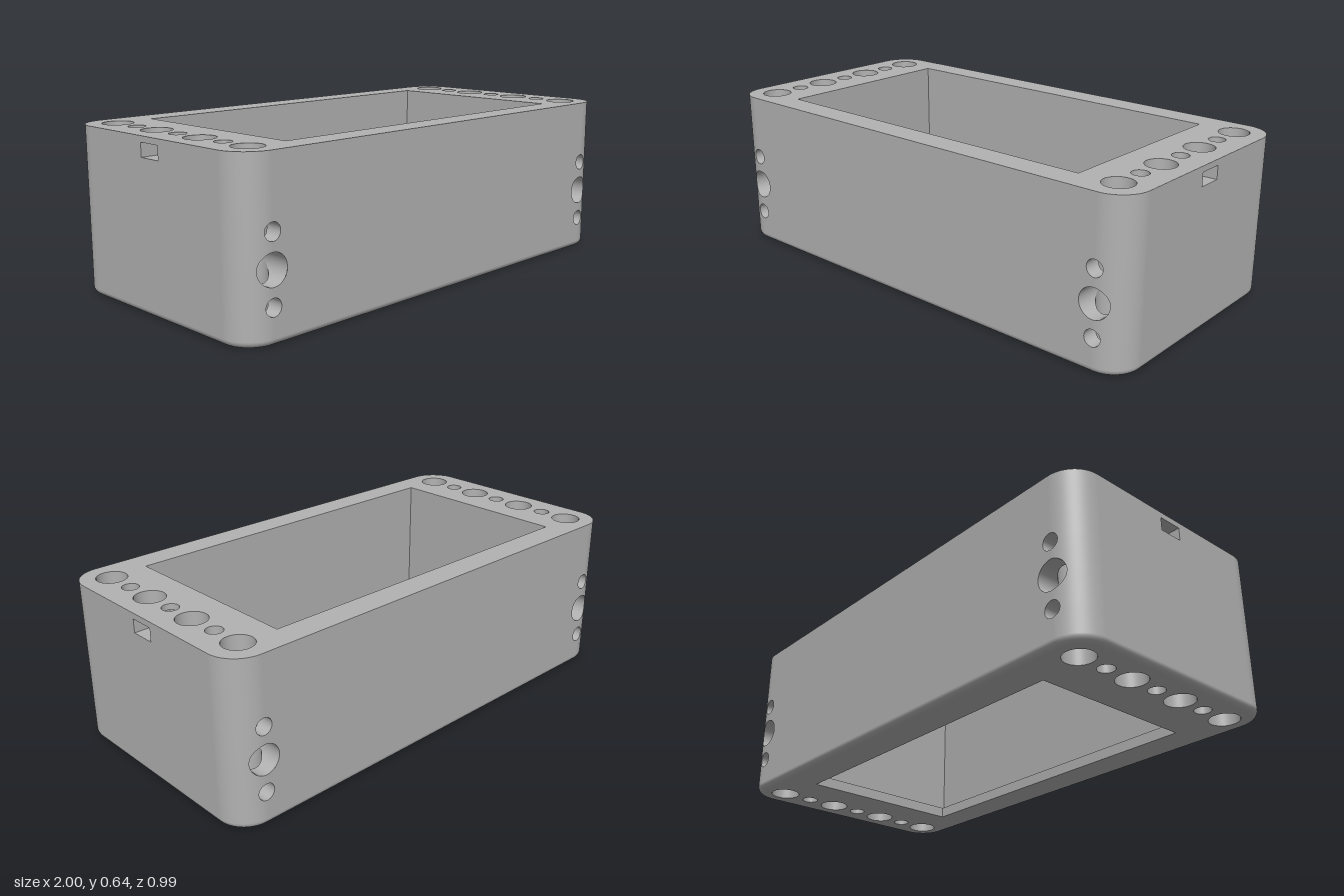
import * as THREE from 'three';
import { mergeGeometries } from 'three/addons/utils/BufferGeometryUtils.js';

const W = 1, D = 0.495, H = 0.64;            // half width, half depth, height
const CX = 0.882, R = W - CX, CZ = D - R;    // corner arc centre and radius
const FILLET = 0.025;
const BIG = 0.058, SMALL = 0.032;
const LIP = 0.043;
const SLOT = { y0: 0.565, y1: 0.617, half: 0.05 };
const sideHoles = [[0.13, SMALL], [0.255, BIG], [0.38, SMALL]];
const topHoles = [-3, -2, -1, 0, 1, 2, 3].map(i => [i * 0.1262, i % 2 ? BIG : SMALL]);

const v = (x, y, z) => new THREE.Vector3(x, y, z);

// Skins neighbouring columns. Each has at(t), a normal n and breaks [start, end, start, end...]
function strip(cols) {
  const pos = [], nor = [];
  const tri = (...c) => {
    const [a, b, d] = c.map(e => e[0]);
    const face = b.clone().sub(a).cross(d.clone().sub(a));
    if (face.lengthSq() < 1e-16) return;
    if (face.dot(c[0][1].clone().add(c[1][1]).add(c[2][1])) < 0) c.reverse();
    c.forEach(([p, n]) => { pos.push(p.x, p.y, p.z); nor.push(n.x, n.y, n.z); });
  };
  for (let i = 0; i + 1 < cols.length; i++) {
    const a = cols[i], b = cols[i + 1];
    for (let k = 0; k < a.breaks.length; k += 2) {
      const [p, q, r, s] = [[a, k], [b, k], [b, k + 1], [a, k + 1]].map(([c, j]) => [c.at(c.breaks[j]), c.n]);
      tri(p, q, r);
      tri(p, r, s);
    }
  }
  const g = new THREE.BufferGeometry();
  g.setAttribute('position', new THREE.Float32BufferAttribute(pos, 3));
  g.setAttribute('normal', new THREE.Float32BufferAttribute(nor, 3));
  return g;
}

// Openings left by round holes at a sideways distance dx from their axes
const gaps = (holes, dx) => holes.flatMap(([c, r]) => {
  const h = Math.sqrt(Math.max(0, r * r - dx * dx));
  return [c - h, c + h];
});

// Even angles plus those where a small hole's edge meets the circle of radius r
function angles(from, to, steps, r) {
  const list = Array.from({ length: steps + 1 }, (_, i) => from + (to - from) * i / steps);
  for (const e of [SMALL, BIG]) {
    if (e >= r) continue;
    const a = Math.acos(e / r);
    [a, Math.PI - a, Math.PI + a, 2 * Math.PI - a].forEach(t => { if (t > from && t < to) list.push(t); });
  }
  return list.sort((a, b) => a - b);
}

// One quarter of the outer outline, from the middle of the front to the middle of the end
function quarter() {
  const pts = [{ x: 0, z: D, nx: 0, nz: 1 }];
  angles(0, Math.PI / 2, 20, BIG).forEach(a => pts.push({ x: CX - BIG * Math.cos(a), z: D, nx: 0, nz: 1 }));
  angles(0, Math.PI / 2, 32, R).reverse().forEach(a => pts.push({
    x: CX + R * Math.cos(a), z: CZ + R * Math.sin(a), nx: Math.cos(a), nz: Math.sin(a) }));
  [[SLOT.half, false], [SLOT.half, true], [0, true]].forEach(([z, open]) => pts.push({ x: W, z, nx: 1, nz: 0, open }));
  return pts;
}

function outerWall() {
  const parts = [];
  for (const sx of [1, -1]) for (const sz of [1, -1]) {
    const q = quarter();
    parts.push(strip(q.map(p => ({
      at: y => v(sx * p.x, y, sz * p.z),
      n: v(sx * p.nx, 0, sz * p.nz),
      breaks: [FILLET, ...gaps(sideHoles, p.x - CX), ...(p.open ? [SLOT.y0, SLOT.y1] : [0.59, 0.59]), H],
    }))));
    // rounded bottom edge, one column per angle with the outline as rows
    const ring = q.flatMap((_, i) => (i + 1 < q.length ? [i, i + 1] : []));
    for (let k = 0; k < 6; k++) {
      const cols = ring.map(i => [k, k + 1].map(j => {
        const a = j / 6 * Math.PI / 2, p = q[i], o = FILLET * (Math.cos(a) - 1);
        return { p: v(sx * (p.x + p.nx * o), FILLET * (1 - Math.sin(a)), sz * (p.z + p.nz * o)),
          n: v(sx * p.nx * Math.cos(a), -Math.sin(a), sz * p.nz * Math.cos(a)) };
      }));
      const rows = [0, 1].map(j => cols.map(c => c[j]));
      const g = strip(cols.map(c => ({ at: t => c[t].p, n: c[0].n, breaks: [0, 1] })));
      // exact normals at both rows
      const P = g.attributes.position, N = g.attributes.normal;
      for (let i = 0; i < P.count; i++) {
        const s = v(P.getX(i), P.getY(i), P.getZ(i));
        const hit = rows.flat().find(e => e.p.distanceToSquared(s) < 1e-10);
        if (hit) N.setXYZ(i, hit.n.x, hit.n.y, hit.n.z);
      }
      parts.push(g);
    }
  }
  return mergeGeometries(parts);
}

// Vertical hole opened where the cross holes and the nut slot meet it
function verticalHole(x, z, r) {
  return strip(angles(0, 2 * Math.PI, 64, r).map(a => {
    const c = Math.cos(a), s = Math.sin(a);
    return { at: y => v(x + r * c, y, z + r * s), n: v(-c, 0, -s),
      breaks: [0, ...gaps(sideHoles, r * c), ...(z === 0 ? [SLOT.y0, SLOT.y1] : []), H] };
  }));
}

// Front-to-back hole, ending on the rounded corners
function crossHole(side, y, r) {
  return strip(angles(0, 2 * Math.PI, 64, r).map(a => {
    const c = Math.cos(a), s = Math.sin(a), dx = Math.max(0, r * c);
    const end = CZ + Math.sqrt(R * R - dx * dx);
    return { at: z => v(side * (CX + r * c), y + r * s, z), n: v(-side * c, -s, 0),
      breaks: [-end, ...gaps(topHoles, r * c), end] };
  }));
}

// Flat walls along a path of [x, z] points, facing the point (cx, 0)
function innerWalls(path, y0, y1, cx) {
  return mergeGeometries(path.slice(1).map((b, i) => {
    const a = path[i];
    const n = v(b[1] - a[1], 0, a[0] - b[0]).normalize();
    if (n.dot(v(cx - a[0], 0, -a[1])) < 0) n.negate();
    return strip([a, b].map(([x, z]) => ({ at: y => v(x, y, z), n, breaks: [y0, y1] })));
  }));
}

const rectPath = (x, z) => [[-x, -z], [x, -z], [x, z], [-x, z], [-x, -z]];
const polygon = (pts, Type = THREE.Shape) => new Type(pts.map(([x, z]) => new THREE.Vector2(x, z)));
const circle = (x, z, r) => new THREE.Path().absarc(x, z, r, 0, 2 * Math.PI, false);

function roundedOutline(inset) {
  const s = new THREE.Shape(), r = R - inset;
  [[1, 1], [-1, 1], [-1, -1], [1, -1]].forEach(([sx, sz], i) =>
    s.absarc(sx * CX, sz * CZ, r, i * Math.PI / 2, (i + 1) * Math.PI / 2, false));
  return s;
}

// Horizontal face at height y, facing up (1) or down (-1)
function flat(shape, y, dir) {
  return new THREE.ShapeGeometry(shape, 32).rotateX(-dir * Math.PI / 2).translate(0, y, 0);
}

export function createModel() {
  const model = new THREE.Group();
  const grey = new THREE.MeshStandardMaterial({ color: 0xb2b2b2 });
  grey.name = 'plain grey';
  const add = (name, geometry, parent = model) => {
    const mesh = new THREE.Mesh(geometry, grey);
    mesh.name = name;
    parent.add(mesh);
    return mesh;
  };

  const pocket = rectPath(0.73, 0.388), opening = rectPath(0.686, 0.345);
  const drilled = (inset, cut) => {
    const s = roundedOutline(inset);
    s.holes.push(polygon(cut, THREE.Path));
    for (const side of [1, -1]) topHoles.forEach(([z, r]) => s.holes.push(circle(side * CX, z, r)));
    return s;
  };

  add('outerWall', outerWall());
  add('topFace', flat(drilled(0, pocket.slice(0, 4)), H, 1));
  add('bottomFace', flat(drilled(FILLET, opening.slice(0, 4)), 0, -1));

  // central pocket with a lip around its floor opening
  add('pocketWalls', innerWalls(pocket, LIP, H, 0));
  add('lipWalls', innerWalls(opening, 0, LIP, 0));
  const ledge = polygon(pocket.slice(0, 4));
  ledge.holes.push(polygon(opening.slice(0, 4), THREE.Path));
  add('lipTop', flat(ledge, LIP, 1));

  // nut slot outline, pointed at its inner end
  const s = SLOT.half, k = s / Math.sqrt(3);
  const nut = [[W, -s], [CX - k, -s], [CX - 2 * k, 0], [CX - k, s], [W, s]];
  const nutFace = polygon(nut);
  nutFace.holes.push(circle(CX, 0, SMALL));

  for (const side of [1, -1]) {
    const end = side > 0 ? 'left' : 'right';
    add(end + 'VerticalHoles', mergeGeometries(topHoles.map(([z, r]) => verticalHole(side * CX, z, r))));
    add(end + 'CrossHoles', mergeGeometries(sideHoles.map(([y, r]) => crossHole(side, y, r))));
    const slot = new THREE.Group();
    slot.name = end + 'NutSlot';
    add('slotWalls', innerWalls(nut, SLOT.y0, SLOT.y1, CX), slot);
    add('slotFloor', flat(nutFace, SLOT.y0, 1), slot);
    add('slotRoof', flat(nutFace, SLOT.y1, -1), slot);
    if (side < 0) slot.rotation.y = Math.PI;
    model.add(slot);
  }
  return model;
}
